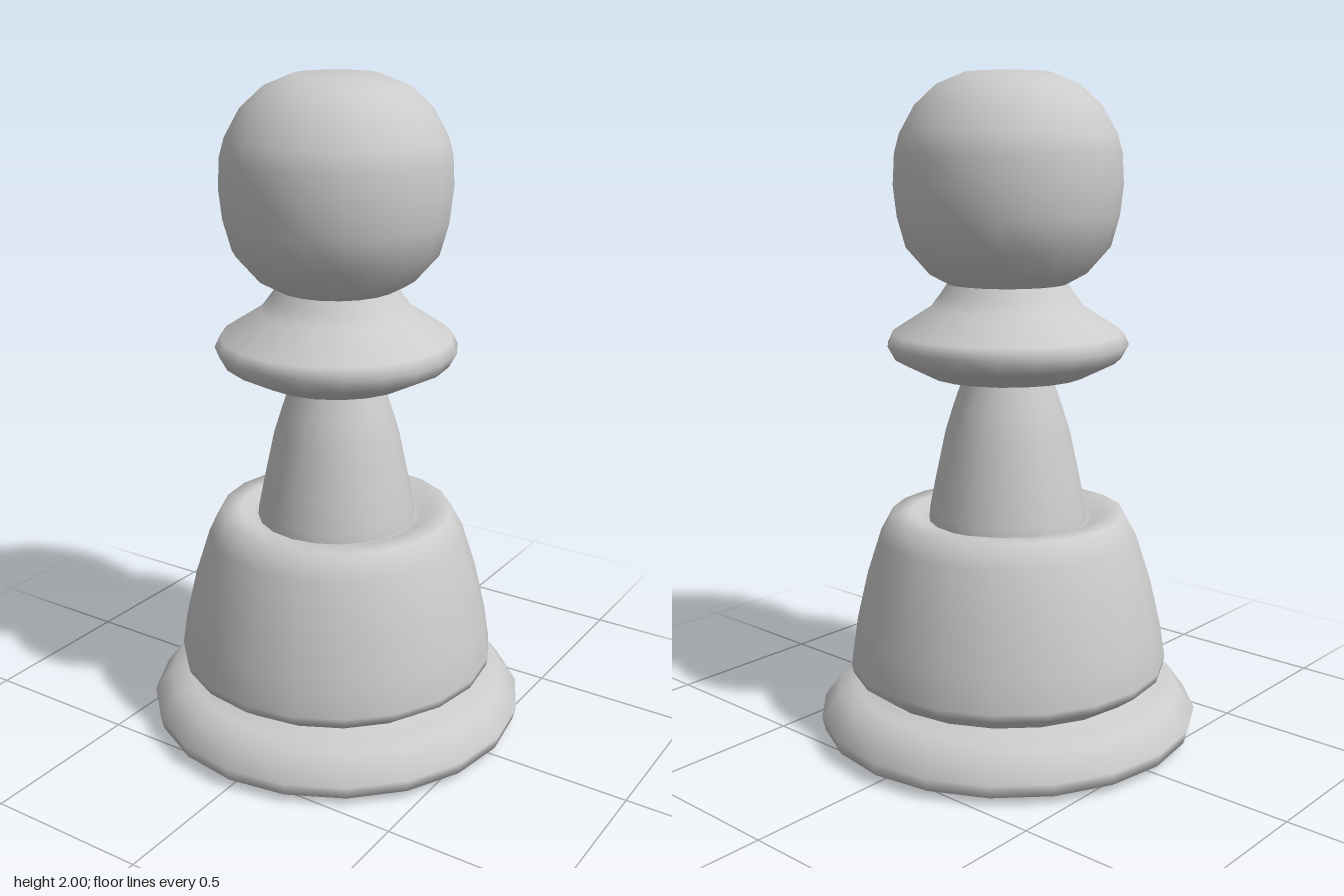
import * as THREE from 'three';

const SIDES = 20;

// Profiles as [radius, height], running from bottom to top
const profiles = {
  base: [[0, 0], [0.3, 0], [0.52, 0.005], [0.575, 0.025], [0.585, 0.065], [0.53, 0.14], [0.47, 0.147], [0.43, 0.165]],
  // body with a shallow dip in its top around the stem
  body: [[0.43, 0.165], [0.485, 0.205], [0.49, 0.23], [0.475, 0.33], [0.44, 0.48], [0.395, 0.62], [0.357, 0.69],
    [0.3, 0.69], [0.265, 0.67], [0.235, 0.67]],
  stem: [[0.243, 0.67], [0.24, 0.7], [0.222, 0.79], [0.19, 0.94], [0.165, 1.02], [0.13, 1.12]],
  collar: [[0.13, 1.115], [0.235, 1.115], [0.34, 1.168], [0.363, 1.21], [0.347, 1.245], [0.23, 1.32], [0.2, 1.36], [0.18, 1.39]],
  head: [[0.18, 1.39], [0.235, 1.42], [0.305, 1.5], [0.33, 1.59], [0.34, 1.68], [0.335, 1.77], [0.32, 1.825],
    [0.275, 1.905], [0.21, 1.965], [0.125, 2], [0, 2]],
};

export function createModel() {
  const group = new THREE.Group();
  group.name = 'pawn';
  const material = new THREE.MeshStandardMaterial({ color: 0xcccccc });

  // Each turned part is a smooth lathe
  for (const [name, points] of Object.entries(profiles)) {
    const geometry = new THREE.LatheGeometry(points.map(([r, y]) => new THREE.Vector2(r, y)), SIDES);
    const mesh = new THREE.Mesh(geometry, material);
    mesh.name = name;
    group.add(mesh);
  }
  return group;
}
